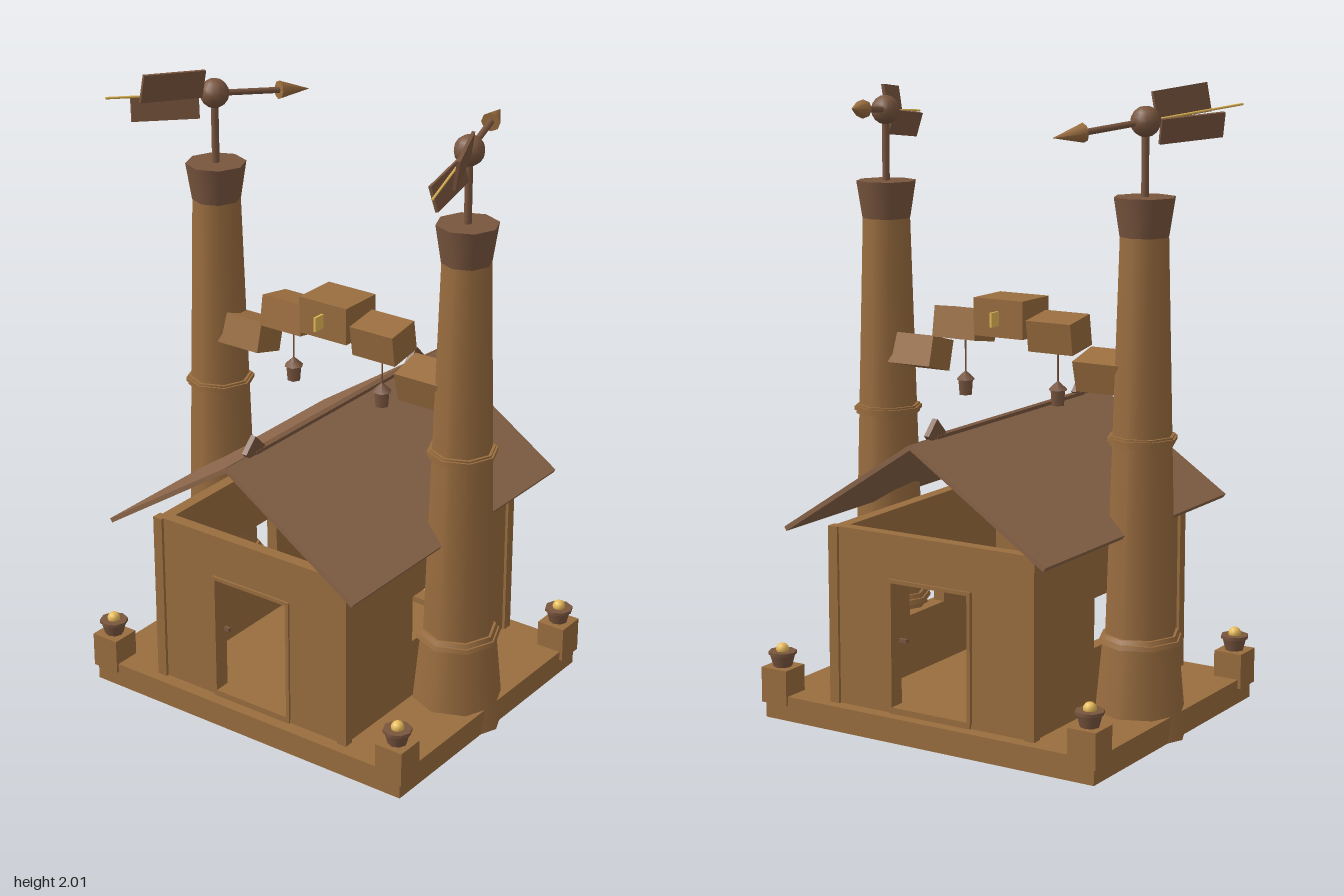
import * as THREE from 'three';

const mat = (color) => new THREE.MeshStandardMaterial({ color });
const wood = mat(0x9a6d3f), roofMat = mat(0x8b6549), dark = mat(0x7a563f), gold = mat(0xe8bb58);

function add(parent, name, geometry, material, x = 0, y = 0, z = 0) {
  const mesh = new THREE.Mesh(geometry, material);
  mesh.name = name;
  mesh.position.set(x, y, z);
  parent.add(mesh);
  return mesh;
}
const box = (w, h, d) => new THREE.BoxGeometry(w, h, d);
const cyl = (top, bottom, h, sides = 8) => new THREE.CylinderGeometry(top, bottom, h, sides);

// Wall panel in the xy plane with one rectangular opening
function wallPanel(w, h, t, x0, x1, y0, y1) {
  const s = new THREE.Shape();
  s.moveTo(-w / 2, 0).lineTo(w / 2, 0).lineTo(w / 2, h).lineTo(-w / 2, h).closePath();
  const hole = new THREE.Path();
  hole.moveTo(x0, y0).lineTo(x0, y1).lineTo(x1, y1).lineTo(x1, y0).closePath();
  s.holes.push(hole);
  return new THREE.ExtrudeGeometry(s, { depth: t, bevelEnabled: false }).translate(0, 0, -t / 2);
}

// Weather vane: ball, pointing arrow, two splayed tail blades and a needle
function weatherVane(dir) {
  const g = new THREE.Group();
  g.name = 'weatherVane';
  add(g, 'vaneBall', new THREE.SphereGeometry(0.047, 12, 8), dark);
  add(g, 'arrowShaft', cyl(0.01, 0.01, 0.25), dark, 0.115).rotation.z = Math.PI / 2;
  add(g, 'arrowHead', new THREE.ConeGeometry(0.03, 0.11, 8), wood, 0.283).rotation.z = -Math.PI / 2;
  add(g, 'tailNeedle', cyl(0.004, 0.004, 0.36, 6), gold, -0.19).rotation.z = Math.PI / 2;
  const upper = add(g, 'upperBlade', box(0.22, 0.09, 0.01), dark, -0.16, 0.035, 0.03);
  upper.rotation.set(0.17, 0.09, 0);
  const lower = add(g, 'lowerBlade', box(0.22, 0.08, 0.01), dark, -0.16, -0.042, -0.015);
  lower.rotation.set(-0.25, -0.13, 0);
  g.quaternion.setFromUnitVectors(new THREE.Vector3(1, 0, 0), dir.normalize());
  return g;
}

function tower(z, dir) {
  const g = new THREE.Group();
  g.name = 'tower';
  add(g, 'towerFoot', cyl(0.122, 0.152, 0.31), wood, 0, 0.155);
  add(g, 'towerShaft', cyl(0.077, 0.114, 1.26), wood, 0, 0.94);
  // Stepped bands around the shaft
  add(g, 'lowerBand', cyl(0.133, 0.137, 0.014), wood, 0, 0.305);
  add(g, 'lowerBandTop', cyl(0.122, 0.128, 0.014), wood, 0, 0.32);
  add(g, 'upperBand', cyl(0.112, 0.112, 0.012), wood, 0, 0.94);
  add(g, 'upperBandStep', cyl(0.105, 0.105, 0.03), wood, 0, 0.937);
  add(g, 'towerCap', cyl(0.097, 0.078, 0.12), dark, 0, 1.62);
  add(g, 'vanePole', cyl(0.012, 0.012, 0.22), dark, 0, 1.79);
  const vane = weatherVane(dir);
  vane.position.y = 1.905;
  g.add(vane);
  g.position.z = z;
  return g;
}

export function createModel() {
  const model = new THREE.Group();
  model.name = 'twinTowerHouse';
  add(model, 'base', box(1.01, 0.08, 1.21), wood, 0, 0.04);

  // Corner pedestals with lamp pots
  for (const sx of [-1, 1]) for (const sz of [-1, 1]) {
    const p = new THREE.Group();
    p.name = 'pedestal';
    add(p, 'pedestalBlock', box(0.097, 0.115, 0.097), wood, 0, 0.108);
    add(p, 'lampPot', cyl(0.042, 0.03, 0.045), dark, 0, 0.187);
    add(p, 'lampRim', cyl(0.046, 0.046, 0.01), dark, 0, 0.21);
    add(p, 'lampGlobe', new THREE.SphereGeometry(0.021, 12, 8), gold, 0, 0.22);
    p.position.set(0.465 * sx, 0, 0.567 * sz);
    model.add(p);
    add(model, 'cornerPost', box(0.034, 0.57, 0.034), wood, 0.453 * sx, 0.365, 0.36 * sz);
  }

  // House walls with doorways on the sides and windows behind the towers
  for (const s of [-1, 1]) {
    const side = add(model, 'sideWall', wallPanel(0.7, 0.57, 0.04, -0.15, 0.15, 0.012, 0.43), wood, 0.44 * s, 0.08);
    side.rotation.y = s * Math.PI / 2;
    add(model, 'endWall', wallPanel(0.88, 0.57, 0.04, -0.1, 0.1, 0.2, 0.36), wood, 0, 0.08, 0.347 * s);
    // Door frame, threshold and knob
    for (const z of [-0.141, 0.149])
      add(model, 'doorJamb', box(0.055, 0.41, 0.012), wood, 0.44 * s, 0.3, z);
    add(model, 'doorLintel', box(0.055, 0.012, 0.3), wood, 0.44 * s, 0.504, 0.004);
    add(model, 'doorSill', box(0.055, 0.02, 0.3), wood, 0.44 * s, 0.09, 0.004);
    add(model, 'doorKnob', box(0.012, 0.012, 0.03), dark, 0.42 * s, 0.305, 0.13 * s);
  }
  add(model, 'doorStop', box(0.03, 0.1, 0.015), dark, 0.42, 0.15, -0.128);

  // Gable roof, ridge and finials
  const pitch = Math.atan2(0.31, 0.47);
  for (const s of [-1, 1]) {
    const slab = add(model, 'roofSlab', box(1.13, 0.015, 0.565), roofMat, 0, 0.803, 0.234 * s);
    slab.rotation.x = s * pitch;
    add(model, 'ridgeFinial', box(0.066, 0.066, 0.018), dark, 0.43 * s, 0.975).rotation.z = Math.PI / 4;
  }
  add(model, 'ridgeBeam', box(0.86, 0.04, 0.022), dark, 0, 0.95);

  // Stone arch between the towers
  add(model, 'archKeystone', box(0.155, 0.12, 0.18), wood, 0, 1.28);
  add(model, 'keystonePlate', box(0.24, 0.046, 0.008), gold, 0, 1.28);
  for (const s of [-1, 1]) {
    add(model, 'archBlockUpper', box(0.12, 0.1, 0.16), wood, 0, 1.24, 0.175 * s).rotation.z = 0.16 * s;
    add(model, 'archBlockLower', box(0.12, 0.1, 0.16), wood, 0, 1.135, 0.345 * s).rotation.z = 0.26 * s;
    // Hanging lantern
    const l = new THREE.Group();
    l.name = 'lantern';
    add(l, 'lanternCord', cyl(0.003, 0.003, 0.12, 6), dark, 0, 1.14);
    add(l, 'lanternRoof', new THREE.ConeGeometry(0.032, 0.03, 6), dark, 0, 1.075);
    add(l, 'lanternBody', cyl(0.026, 0.022, 0.05, 6), dark, 0, 1.036);
    l.position.z = 0.172 * s;
    model.add(l);
  }

  // Twin towers, each with its own wind direction
  model.add(tower(0.475, new THREE.Vector3(0.32, 0.025, -0.1)));
  model.add(tower(-0.475, new THREE.Vector3(0.305, -0.035, 0.14)));
  return model;
}
